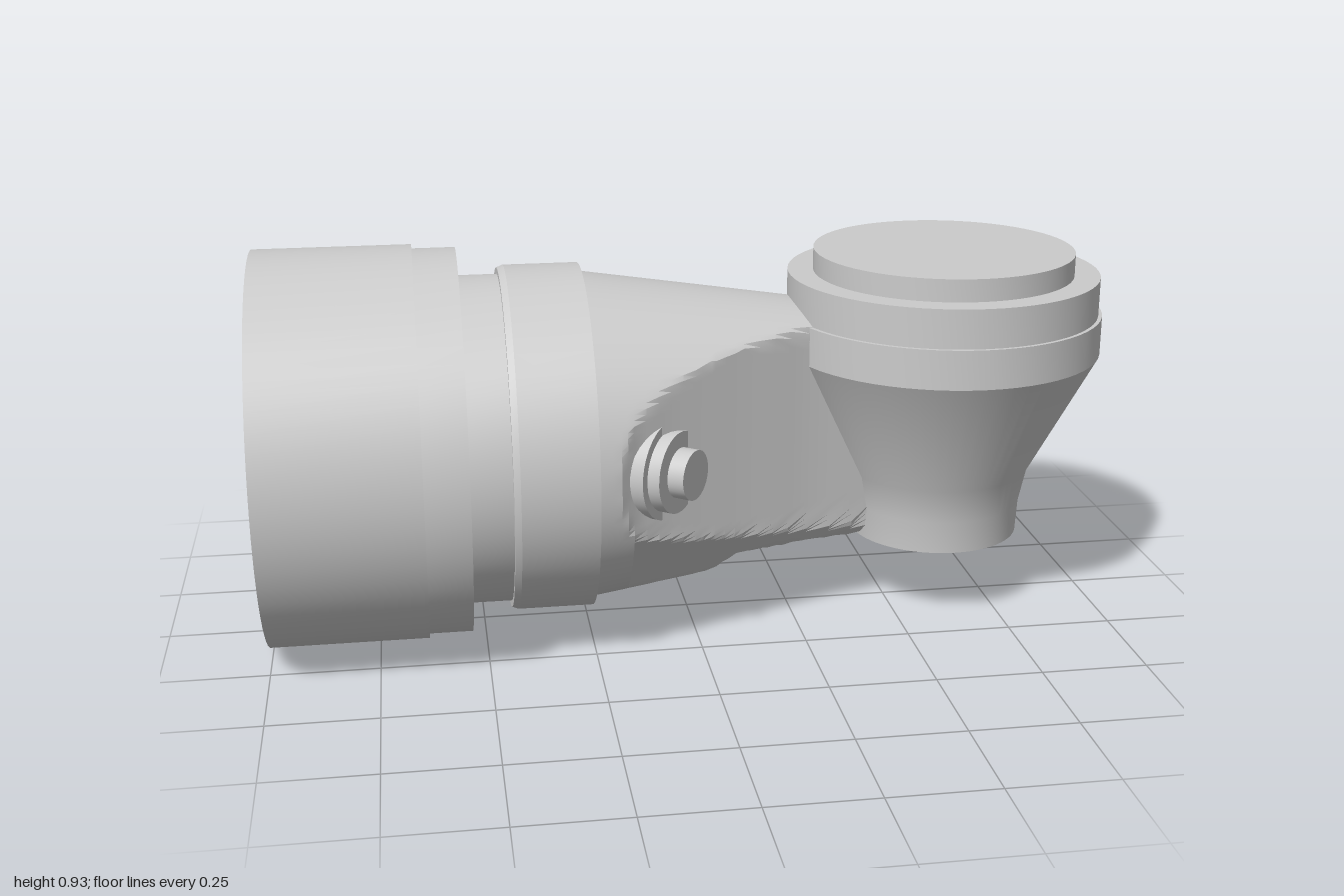
import * as THREE from 'three';
import { toCreasedNormals } from 'three/addons/utils/BufferGeometryUtils.js';

const AXIS_Y = 0.466;
const material = new THREE.MeshStandardMaterial({ color: 0xcccccc });

function addMesh(parent, name, geometry) {
  const mesh = new THREE.Mesh(toCreasedNormals(geometry, 0.3), material);
  mesh.name = name;
  parent.add(mesh);
  return mesh;
}

// Turned solid from [radius, height] pairs, bottom to top
function turned(profile, segments = 64) {
  return new THREE.LatheGeometry(profile.map(([r, y]) => new THREE.Vector2(r, y)), segments);
}

// Piecewise linear lookup in [x, value] pairs
function lerpTable(table, x) {
  if (x <= table[0][0]) return table[0][1];
  for (let i = 1; i < table.length; i++) {
    const [x0, v0] = table[i - 1], [x1, v1] = table[i];
    if (x <= x1) return v0 + (v1 - v0) * (x - x0) / (x1 - x0);
  }
  return table[table.length - 1][1];
}

// Tapering cone trimmed by flat sides, lower chamfers and a flat underside
function neckGeometry() {
  const side = [[-0.25, 0.42], [-0.2, 0.379], [-0.17, 0.353], [-0.08, 0.302], [0, 0.262],
    [0.1, 0.215], [0.27, 0.14], [0.45, 0.08]];
  const chamfer = [[-0.17, 0.348], [0, 0.316], [0.27, 0.254], [0.45, 0.225]];
  const under = [[-0.17, 0.5], [0.02, 0.349], [0.03, 0.341], [0.1, 0.276], [0.45, 0.276]];
  const stations = [-0.3, -0.25, -0.22, -0.2, -0.185, -0.1701, -0.17, -0.14, -0.11, -0.08, -0.05,
    -0.02, 0, 0.02, 0.03, 0.055, 0.08, 0.1, 0.14, 0.18, 0.22, 0.27, 0.33, 0.39, 0.45];
  const N = 180, positions = [], indices = [];
  for (const x of stations) {
    const cone = 0.388 - 0.15 * (x + 0.25);
    for (let j = 0; j < N; j++) {
      const t = j / N * Math.PI * 2, c = Math.cos(t), s = Math.sin(t);
      let r = cone;
      const cut = (along, distance) => { if (along > 0.001) r = Math.min(r, distance / along); };
      cut(Math.abs(s), lerpTable(side, x));
      if (x >= -0.17) {
        cut(0.715 * Math.abs(s) - 0.7 * c, lerpTable(chamfer, x));
        cut(-c, lerpTable(under, x));
      }
      positions.push(x, AXIS_Y + r * c, r * s);
    }
  }
  for (let i = 0; i < stations.length - 1; i++) {
    for (let j = 0; j < N; j++) {
      const k = (j + 1) % N;
      const a = i * N + j, b = i * N + k, d = a + N, e = b + N;
      indices.push(a, b, d, b, e, d);
    }
  }
  // End cap
  const last = (stations.length - 1) * N, centre = positions.length / 3;
  positions.push(0.45, AXIS_Y, 0);
  for (let j = 0; j < N; j++) indices.push(centre, last + j, last + (j + 1) % N);
  const geometry = new THREE.BufferGeometry();
  geometry.setAttribute('position', new THREE.Float32BufferAttribute(positions, 3));
  geometry.setIndex(indices);
  return geometry;
}

export function createModel() {
  const model = new THREE.Group();
  model.name = 'angledJoint';

  // Stepped barrel lying along x, with its collar
  const barrel = addMesh(model, 'barrel', turned([
    [0, -1], [0.463, -1], [0.463, -0.635], [0.453, -0.635], [0.453, -0.535],
    [0.387, -0.535], [0.387, -0.44], [0.402, -0.44], [0.408, -0.425], [0.408, -0.25], [0, -0.25],
  ]).rotateZ(-Math.PI / 2));
  barrel.position.y = AXIS_Y;

  addMesh(model, 'neck', neckGeometry());

  // Upright cup at the end of the neck
  const cup = addMesh(model, 'cup', turned([
    [0, 0.187], [0.205, 0.187], [0.209, 0.265], [0.226, 0.35], [0.38, 0.65], [0.38, 0.743],
    [0.371, 0.743], [0.371, 0.835], [0.31, 0.835], [0.31, 0.888], [0, 0.888],
  ]));
  cup.position.x = 0.62;

  // Slanted bolts on both sides of the neck
  for (const sign of [1, -1]) {
    const bolt = addMesh(model, sign > 0 ? 'frontBolt' : 'backBolt', turned([
      [0, -0.14], [0.115, -0.14], [0.115, -0.07], [0.095, -0.07], [0.095, -0.04],
      [0.058, -0.04], [0.058, 0], [0, 0],
    ], 32));
    bolt.position.set(-0.03, 0.467, sign * 0.335);
    bolt.quaternion.setFromUnitVectors(
      new THREE.Vector3(0, 1, 0), new THREE.Vector3(0.79, 0, sign * 0.61).normalize());
  }
  return model;
}
